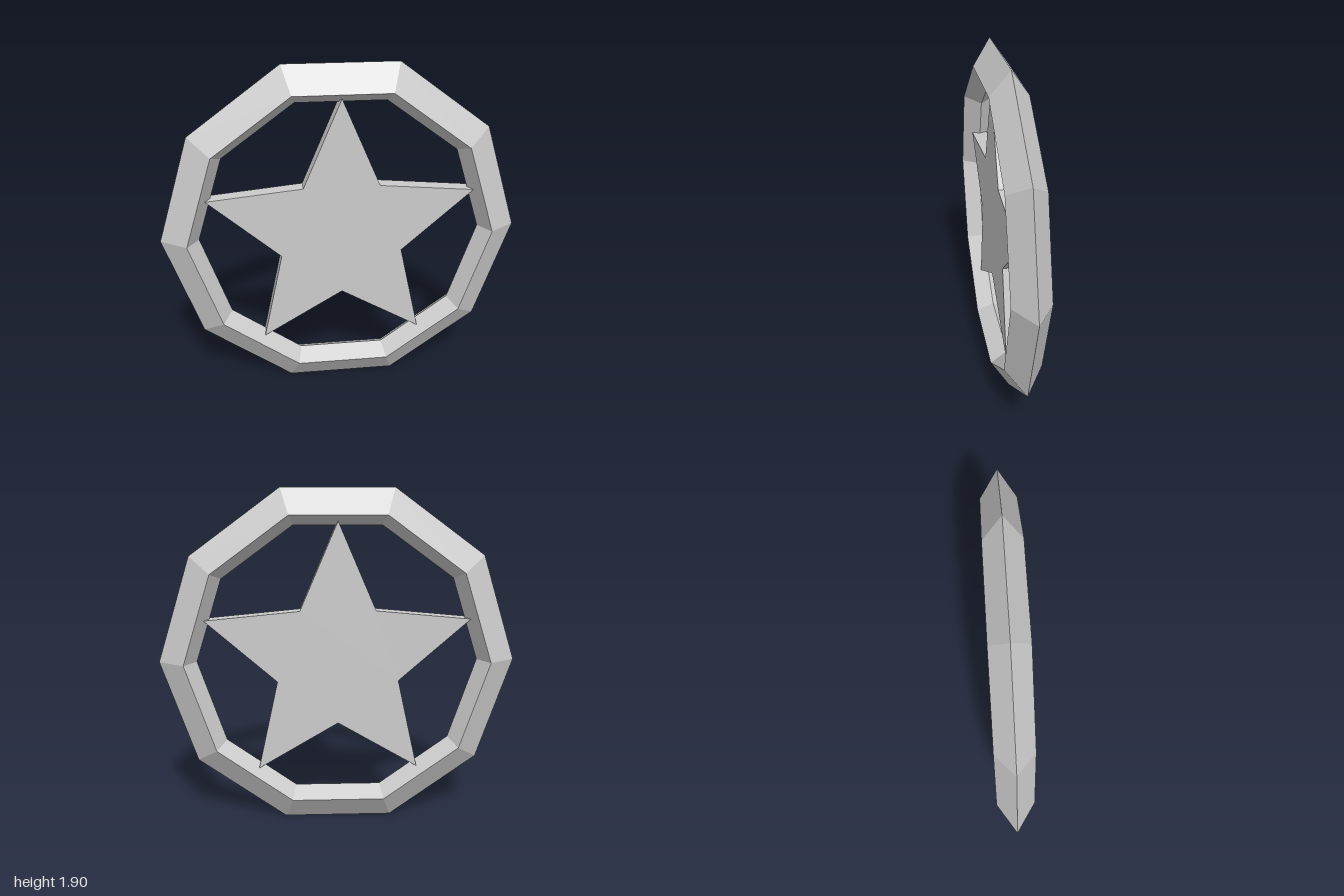
import * as THREE from 'three';

const CENTER_Y = 0.951;

export function createModel() {
  const group = new THREE.Group();
  const material = new THREE.MeshStandardMaterial({ color: 0xcccccc, flatShading: true });

  const add = (name, geometry) => {
    const flat = geometry.index ? geometry.toNonIndexed() : geometry;
    flat.computeVertexNormals();
    const mesh = new THREE.Mesh(flat, material);
    mesh.name = name;
    mesh.position.y = CENTER_Y;
    group.add(mesh);
  };

  // Ten-sided ring with a kite-shaped section, sharp on its outer and inner rims
  const section = [[1, 0], [0.85, 0.1], [0.79, 0], [0.85, -0.1], [1, 0]]
    .map(([r, z]) => new THREE.Vector2(r, z));
  add('ring', new THREE.LatheGeometry(section, 10, Math.PI / 2).rotateX(Math.PI / 2));

  // Flat five-pointed star whose tips touch the inner rim
  const depth = 0.09;
  const points = [];
  for (let i = 0; i < 10; i++) {
    const radius = i % 2 ? 0.358 : 0.776;
    const angle = Math.PI / 2 + (i * Math.PI) / 5;
    points.push(new THREE.Vector2(radius * Math.cos(angle), radius * Math.sin(angle)));
  }
  const star = new THREE.ExtrudeGeometry(new THREE.Shape(points), { depth, bevelEnabled: false });
  add('star', star.translate(0, 0, -depth / 2));

  return group;
}
